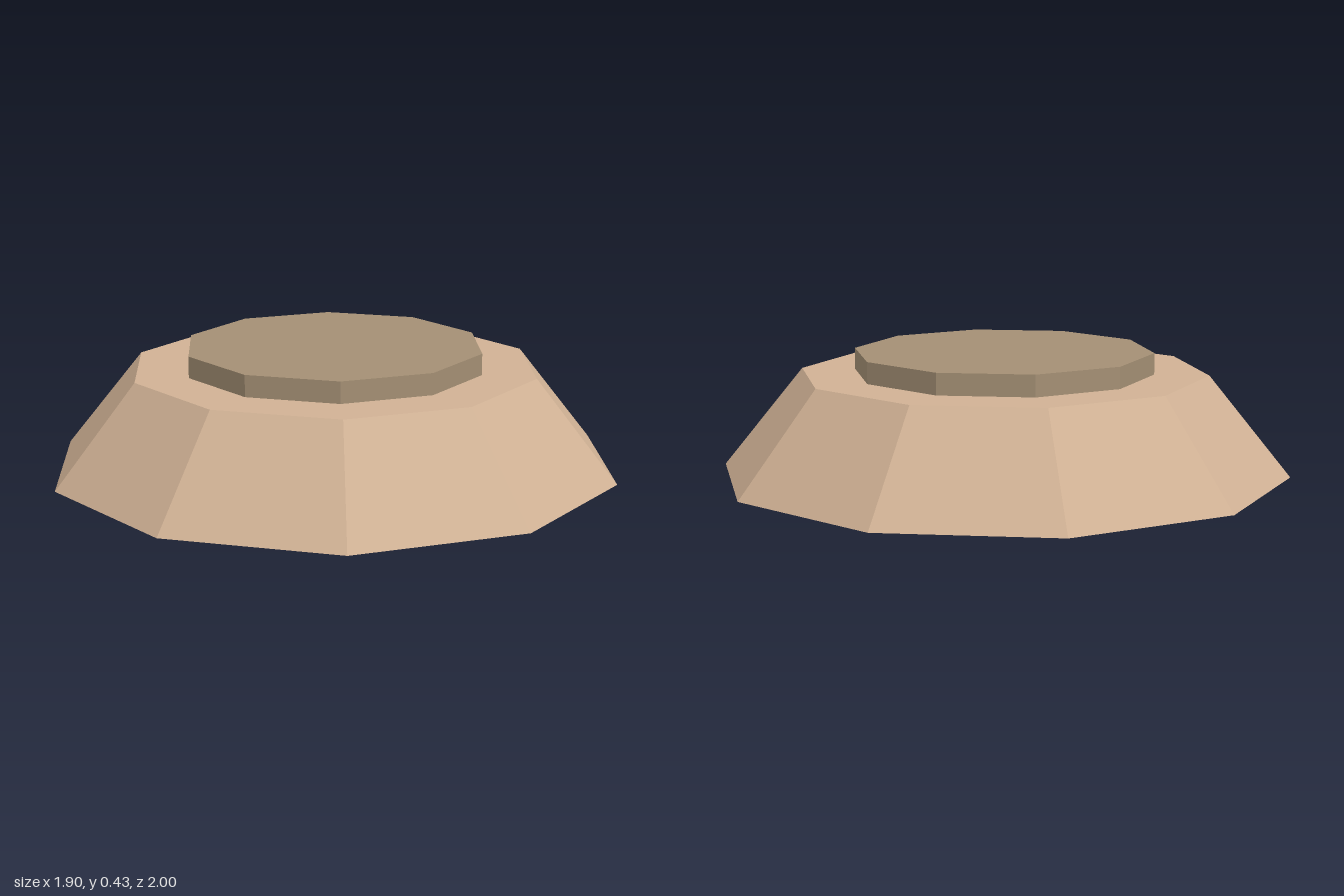
import * as THREE from 'three';

const SIDES = 10;
const BASE_HEIGHT = 0.352;
const CAP_HEIGHT = 0.075;

export function createModel() {
  const model = new THREE.Group();
  model.name = 'steppedPedestal';

  const sandstone = new THREE.MeshStandardMaterial({ color: 0xd0b194, flatShading: true });
  sandstone.name = 'sandstone';
  const darkStone = new THREE.MeshStandardMaterial({ color: 0xa48f74, flatShading: true });
  darkStone.name = 'darkStone';

  // Ten-sided tier standing on the given height
  const addTier = (name, topRadius, bottomRadius, height, y, material) => {
    const geometry = new THREE.CylinderGeometry(topRadius, bottomRadius, height, SIDES);
    const tier = new THREE.Mesh(geometry, material);
    tier.name = name;
    tier.position.y = y + height / 2;
    model.add(tier);
  };

  // Wide sloping base
  addTier('slopedBase', 0.715, 1, BASE_HEIGHT, 0, sandstone);
  // Thin straight-sided slab on top
  addTier('topSlab', 0.525, 0.525, CAP_HEIGHT, BASE_HEIGHT, darkStone);

  return model;
}
